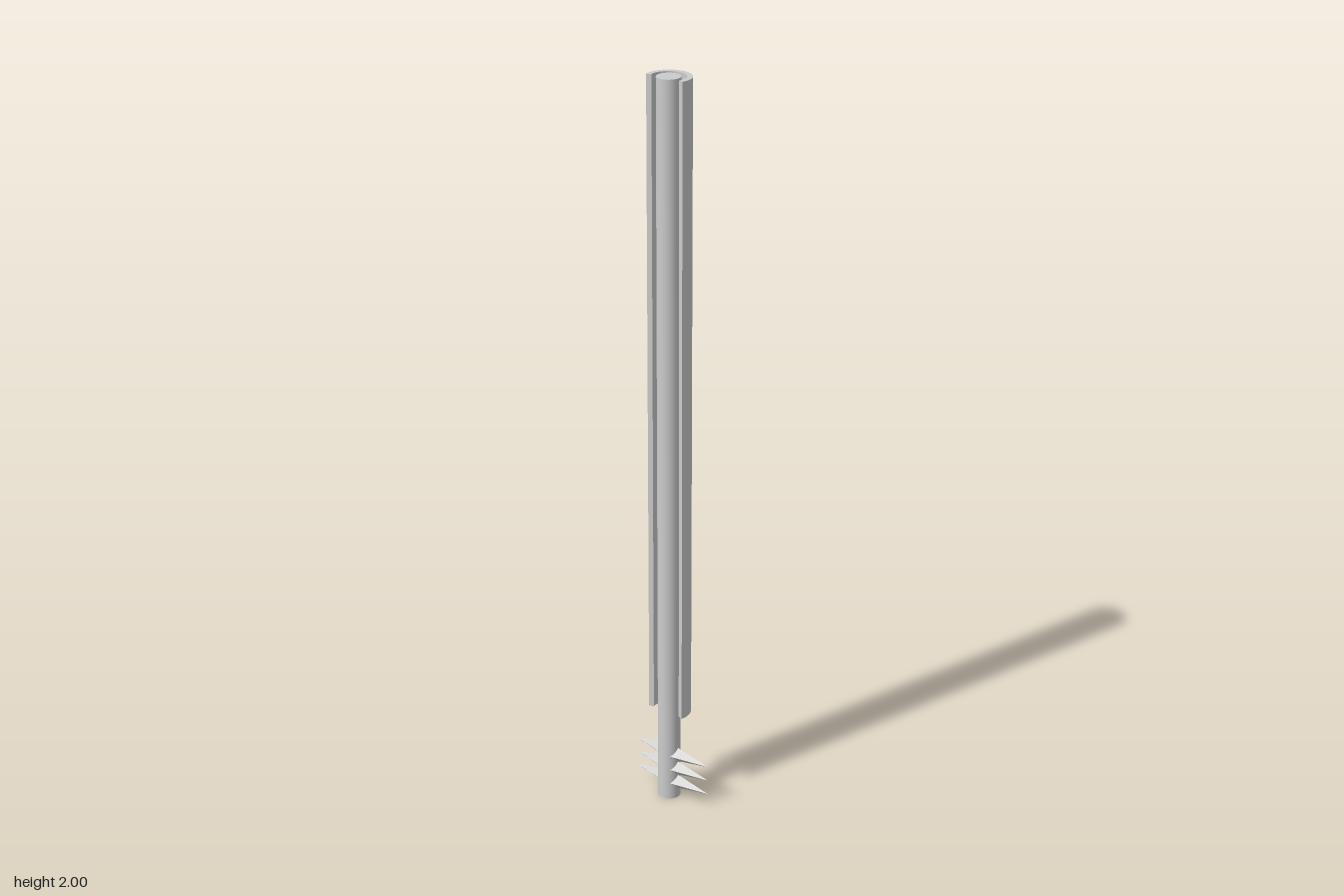
import * as THREE from 'three';
import { toCreasedNormals } from 'three/addons/utils/BufferGeometryUtils.js';

const AXIS_X = -0.008, AXIS_Z = 0.0138; // shared axis of rod and sleeve

export function createModel() {
  const model = new THREE.Group();
  const smooth = new THREE.MeshStandardMaterial({ color: 0xcccccc });
  const faceted = new THREE.MeshStandardMaterial({ color: 0xcccccc, flatShading: true });

  const add = (name, geometry, material, x, y, z) => {
    const mesh = new THREE.Mesh(geometry, material);
    mesh.name = name;
    mesh.position.set(x, y, z);
    model.add(mesh);
    return mesh;
  };

  // Full-height inner rod
  add('rod', new THREE.CylinderGeometry(0.0305, 0.0305, 2, 48), smooth, AXIS_X, 1, AXIS_Z);

  // Sleeve: a C-shaped section, open at the front
  const overhang = THREE.MathUtils.degToRad(16.5);
  const section = new THREE.Shape();
  section.absarc(0, 0, 0.0582, -overhang, Math.PI + overhang, false);
  section.absarc(0, 0, 0.0445, Math.PI + overhang, -overhang, true);
  section.closePath();
  const sleeve = new THREE.ExtrudeGeometry(section, { depth: 1.74, bevelEnabled: false, curveSegments: 40 });
  sleeve.rotateX(-Math.PI / 2);
  add('sleeve', toCreasedNormals(sleeve, 0.6), smooth, AXIS_X, 0.26, AXIS_Z);

  // Three double-pointed spikes through the foot of the rod
  for (let i = 0; i < 3; i++) {
    const spike = new THREE.OctahedronGeometry(1).scale(0.125, 0.025, 0.025);
    add('spike' + (i + 1), spike, faceted, 0, 0.048 + i * 0.042, AXIS_Z);
  }
  return model;
}
